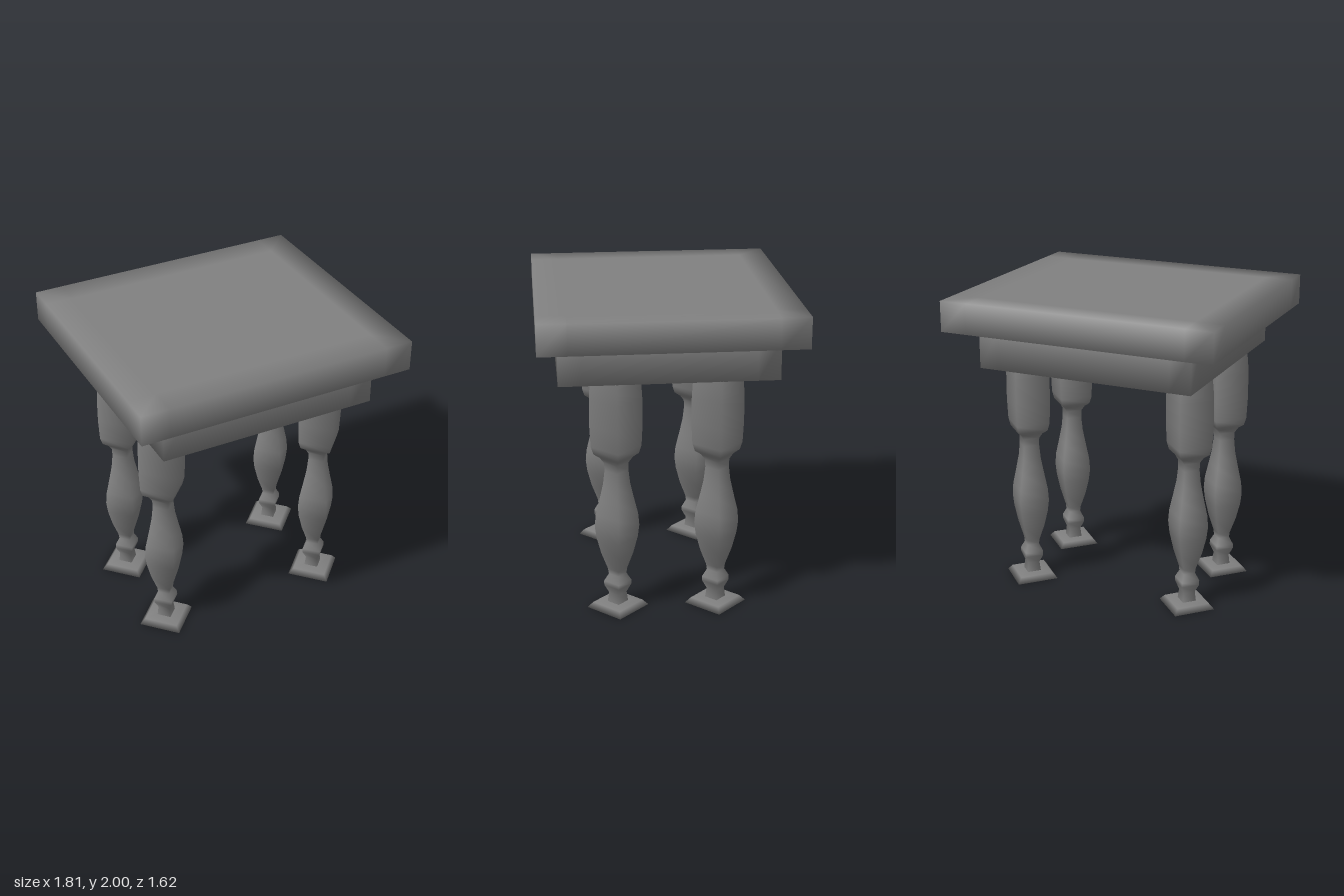
import * as THREE from 'three';

const material = new THREE.MeshStandardMaterial({ color: 0x808080 });

// Rectangular ring of 12 points, with extra points e away from each corner.
// Its normals blend a sideways part (out) with a vertical part (up).
function ring(hx, hz, y, e, out, up) {
  const points = [];
  [[1, 1], [1, -1], [-1, -1], [-1, 1]].forEach(([sx, sz], i) => {
    const trio = [[hx - e, hz, 0, 1], [hx, hz, 1, 1], [hx, hz - e, 1, 0]];
    if (i % 2) trio.reverse();
    for (const [x, z, nx, nz] of trio) {
      points.push({
        position: [sx * x, y, sz * z],
        normal: new THREE.Vector3(sx * nx * out, up, sz * nz * out).normalize().toArray(),
      });
    }
  });
  return points;
}

// Skin a list of rings into one smooth surface, optionally closing both ends
function skin(rings, closed) {
  const pos = [], nor = [], n = 12;
  const tri = (...corners) => corners.forEach((c) => {
    pos.push(...c.position);
    nor.push(...c.normal);
  });
  for (let i = 0; i < n; i++) {
    const j = (i + 1) % n;
    for (let r = 0; r < rings.length - 1; r++) {
      const a = rings[r], b = rings[r + 1];
      tri(a[i], a[j], b[j]);
      tri(a[i], b[j], b[i]);
    }
    if (closed) {
      const low = rings[0], high = rings[rings.length - 1];
      tri({ position: [0, low[0].position[1], 0], normal: [0, -1, 0] }, low[j], low[i]);
      tri({ position: [0, high[0].position[1], 0], normal: [0, 1, 0] }, high[i], high[j]);
    }
  }
  const geo = new THREE.BufferGeometry();
  geo.setAttribute('position', new THREE.Float32BufferAttribute(pos, 3));
  geo.setAttribute('normal', new THREE.Float32BufferAttribute(nor, 3));
  return geo;
}

function addMesh(parent, name, geometry) {
  const mesh = new THREE.Mesh(geometry, material);
  mesh.name = name;
  parent.add(mesh);
  return mesh;
}

const profile = (pairs) => pairs.map(([r, y]) => new THREE.Vector2(r, y));

// Turned outline of a leg: radius, height
const postProfile = profile([
  [0.065, 0.03], [0.055, 0.10], [0.085, 0.155], [0.085, 0.185], [0.055, 0.235],
  [0.06, 0.27], [0.1, 0.38], [0.128, 0.49], [0.138, 0.57], [0.131, 0.65],
  [0.105, 0.76], [0.083, 0.86], [0.073, 0.95], [0.075, 1.0], [0.1, 1.035],
  [0.138, 1.06], [0.154, 1.11], [0.161, 1.25], [0.16, 1.42], [0.155, 1.5], [0.148, 1.557],
]);

// Bevelled foot with a recess underneath
const footProfile = profile([
  [0, 0.1], [0.05, 0.1], [0.073, 0], [0.192, 0], [0.155, 0.035], [0.06, 0.037],
]);

export function createModel() {
  const model = new THREE.Group();
  model.name = 'table';

  // Thick top slab
  const e = 0.18;
  addMesh(model, 'tableTop', skin([
    ring(0.903 - e, 0.81 - e, 1.803, 0, 0, -1), ring(0.903, 0.81, 1.803, e, 1, -0.6),
    ring(0.903, 0.81, 2, e, 1, 0.8), ring(0.903 - e, 0.81 - e, 2, 0, 0, 1),
  ], true));

  // Open frame under the top
  const t = 0.14;
  const apron = addMesh(model, 'apron', skin([
    ring(0.713 - t, 0.678 - t, 1.81, 0, -1, 0), ring(0.713 - t, 0.678 - t, 1.555, 0, -1, -0.6),
    ring(0.713, 0.678, 1.555, t, 1, -1), ring(0.713, 0.678, 1.81, t, 1, 0.3),
  ], false));
  apron.position.z = 0.007;

  // Four-sided legs set cornerwise, each on its foot
  const postGeo = new THREE.LatheGeometry(postProfile, 4);
  const footGeo = new THREE.LatheGeometry(footProfile, 4);
  for (const sz of [1, -1]) {
    for (const sx of [1, -1]) {
      const leg = new THREE.Group();
      leg.name = (sz > 0 ? 'front' : 'back') + (sx > 0 ? 'Left' : 'Right') + 'Leg';
      addMesh(leg, 'turnedPost', postGeo);
      addMesh(leg, 'foot', footGeo);
      leg.position.set(sx * 0.57 + 0.005, 0, sz * 0.318 + 0.012);
      leg.scale.z = 1.03;
      model.add(leg);
    }
  }
  return model;
}
